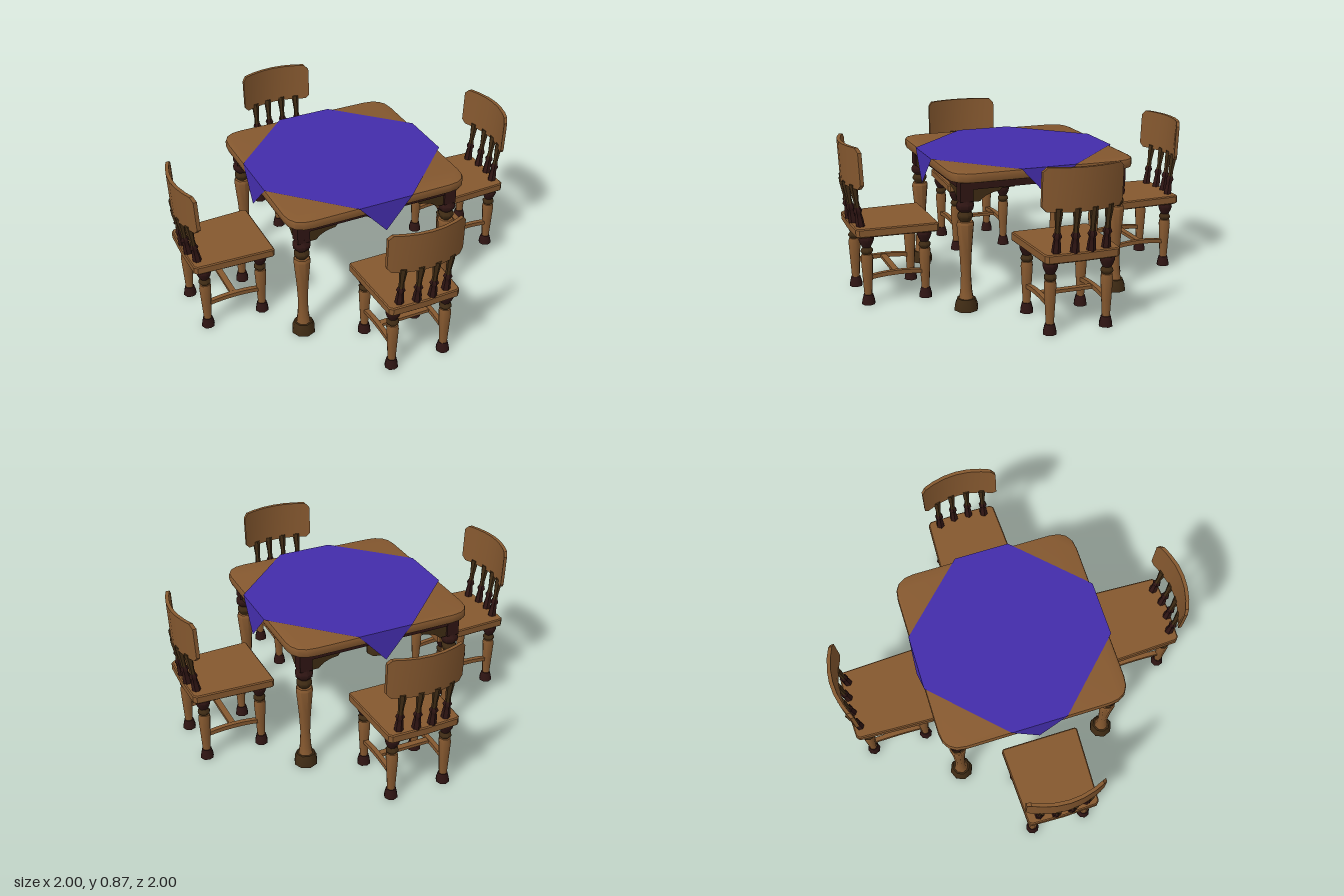
import * as THREE from 'three';
import { toCreasedNormals } from 'three/addons/utils/BufferGeometryUtils.js';

const material = (name, color, extra = {}) => {
  const m = new THREE.MeshStandardMaterial({ color, ...extra });
  m.name = name;
  return m;
};

export function createModel() {
  const wood = material('warm wood', 0x85582f);
  const walnut = material('dark walnut', 0x3f2b14);
  const mahogany = material('dark mahogany', 0x2f1513);
  const purple = material('purple cloth', 0x432daa, { side: THREE.DoubleSide });

  const add = (parent, name, geometry, mat, x = 0, y = 0, z = 0) => {
    const mesh = new THREE.Mesh(geometry, mat);
    mesh.name = name;
    mesh.position.set(x, y, z);
    parent.add(mesh);
    return mesh;
  };
  // Turned piece: [radius, height] pairs from bottom to top, closed at both ends
  const turned = (profile, sides = 8) => {
    const pts = [[0, profile[0][1]], ...profile, [0, profile.at(-1)[1]]];
    return toCreasedNormals(
      new THREE.LatheGeometry(pts.map(([r, y]) => new THREE.Vector2(r, y)), sides), 0.85);
  };
  // Flat board from an x-z outline, top face at y = 0, with softened edges
  const board = (shape, thickness, bevel, segments) => {
    const g = new THREE.ExtrudeGeometry(shape, {
      depth: thickness - 2 * bevel, bevelThickness: bevel, bevelSize: bevel,
      bevelOffset: -bevel, bevelSegments: segments, curveSegments: 4,
    });
    g.rotateX(Math.PI / 2).translate(0, -bevel, 0);
    return toCreasedNormals(g, 0.6);
  };

  const model = new THREE.Group();
  model.name = 'diningSet';

  // ---------- Table ----------
  const table = new THREE.Group();
  table.name = 'table';
  table.position.set(-0.007, 0, -0.004);
  model.add(table);

  const h = 0.522, r = 0.125;
  const topShape = new THREE.Shape();
  topShape.moveTo(-h + r, -h);
  topShape.lineTo(h - r, -h).quadraticCurveTo(h, -h, h, -h + r);
  topShape.lineTo(h, h - r).quadraticCurveTo(h, h, h - r, h);
  topShape.lineTo(-h + r, h).quadraticCurveTo(-h, h, -h, h - r);
  topShape.lineTo(-h, -h + r).quadraticCurveTo(-h, -h, -h + r, -h);
  add(table, 'tableTop', board(topShape, 0.055, 0.014, 2), wood, 0, 0.763, 0);

  const tableLegParts = [
    ['tableFoot', walnut, [[0.066, 0], [0.064, 0.03], [0.05, 0.065]]],
    ['tableLegShaft', wood, [[0.04, 0.065], [0.033, 0.11], [0.028, 0.2], [0.034, 0.32], [0.048, 0.475], [0.042, 0.49]]],
    ['tableLegRing', walnut, [[0.028, 0.49], [0.043, 0.515], [0.043, 0.525], [0.027, 0.55]]],
    ['tableLegCollar', mahogany, [[0.03, 0.54], [0.047, 0.56], [0.05, 0.58], [0.036, 0.6], [0.036, 0.62]]],
  ].map(([name, mat, profile]) => [name, mat, turned(profile)]);
  const legBlock = new THREE.BoxGeometry(0.07, 0.11, 0.07);
  for (const x of [-0.435, 0.435]) for (const z of [-0.435, 0.435]) {
    const leg = new THREE.Group();
    leg.name = 'tableLeg';
    leg.position.set(x, 0, z);
    for (const [name, mat, g] of tableLegParts) add(leg, name, g, mat);
    add(leg, 'legBlock', legBlock, mahogany, 0, 0.655, 0);
    table.add(leg);
  }

  // Apron rails with curved brackets beside the legs
  const bracket = new THREE.Shape();
  bracket.moveTo(-0.4, 0.7).lineTo(-0.4, 0.595);
  bracket.lineTo(-0.36, 0.595).quadraticCurveTo(-0.33, 0.635, -0.25, 0.642);
  bracket.lineTo(-0.23, 0.665).lineTo(-0.2, 0.67).lineTo(-0.2, 0.7);
  const bracketGeo = new THREE.ExtrudeGeometry(bracket, { depth: 0.026, bevelEnabled: false, curveSegments: 5 });
  bracketGeo.translate(0, 0, -0.013);
  const apronGeo = new THREE.BoxGeometry(0.82, 0.046, 0.036);
  for (let i = 0; i < 4; i++) {
    const side = new THREE.Group();
    side.name = 'apronSide';
    side.rotation.y = i * Math.PI / 2;
    add(side, 'apronRail', apronGeo, mahogany, 0, 0.685, 0.448);
    add(side, 'apronBracket', bracketGeo, walnut, 0, 0, 0.445);
    add(side, 'apronBracket', bracketGeo, walnut, 0, 0, 0.445).rotation.y = Math.PI;
    // Second bracket is turned about its own centre, so it mirrors to the other end
    table.add(side);
  }

  // ---------- Cloth: a diagonal square whose corners hang over the edges ----------
  const e = 0.529, w = 0.155, clothY = 0.767;
  const rim = [], verts = [];
  const turn = (x, y, z, i) => {
    const p = new THREE.Vector3(x, y, z).applyAxisAngle(new THREE.Vector3(0, 1, 0), i * Math.PI / 2);
    return [p.x, p.y, p.z];
  };
  for (let i = 0; i < 4; i++) {
    const a = turn(-w, clothY, e, i), b = turn(w, clothY, e, i), tip = turn(0, 0.598, e + 0.012, i);
    rim.push(a, b);
    verts.push(...a, ...tip, ...b);
  }
  rim.forEach((p, i) => verts.push(0, clothY, 0, ...p, ...rim[(i + 1) % 8]));
  const clothGeo = new THREE.BufferGeometry();
  clothGeo.setAttribute('position', new THREE.Float32BufferAttribute(verts, 3));
  clothGeo.computeVertexNormals();
  add(model, 'tableCloth', clothGeo, purple);

  // ---------- Chair parts (chair faces the table, its back towards +z) ----------
  const seatShape = new THREE.Shape();
  seatShape.moveTo(-0.21, 0.512);
  seatShape.lineTo(0.21, 0.512).lineTo(0.22, 0.524).lineTo(0.203, 0.945).lineTo(0.185, 0.962);
  seatShape.lineTo(0, 0.968).lineTo(-0.185, 0.962).lineTo(-0.203, 0.945).lineTo(-0.22, 0.524);
  const seatGeo = board(seatShape, 0.048, 0.006, 1);

  const chairLegParts = [
    ['chairFoot', mahogany, [[0.037, 0], [0.035, 0.02], [0.026, 0.055]]],
    ['chairLegShaft', wood, [[0.022, 0.055], [0.027, 0.14], [0.034, 0.26], [0.03, 0.283]]],
    ['chairLegRing', walnut, [[0.02, 0.28], [0.034, 0.297], [0.034, 0.305], [0.02, 0.325]]],
    ['chairLegCapital', mahogany, [[0.022, 0.318], [0.036, 0.345], [0.042, 0.365], [0.038, 0.388]]],
  ].map(([name, mat, profile]) => [name, mat, turned(profile)]);

  const spindleBase = turned([[0.024, 0], [0.022, 0.04], [0.017, 0.075], [0.025, 0.09], [0.016, 0.11]], 6);
  const spindleUpper = turned([[0.016, 0.1], [0.014, 0.14], [0.021, 0.21], [0.021, 0.24]], 6);

  // Curved backrest with clipped corners and a slight backward lean
  const sag = (x) => 0.055 * (x / 0.215) ** 2;
  const columns = [-0.215, -0.193, -0.14, -0.07, 0, 0.07, 0.14, 0.193, 0.215];
  let backGeo = new THREE.BoxGeometry(8, 0.224, 0.02, 8, 1, 1);
  const p = backGeo.attributes.position;
  for (let i = 0; i < p.count; i++) {
    const k = Math.round(p.getX(i) + 4), x = columns[k];
    const y = p.getY(i) * (k === 0 || k === 8 ? 0.78 : 1);
    p.setXYZ(i, x, y + 0.76, p.getZ(i) + 0.983 - sag(x) + y * 0.045);
  }
  backGeo = toCreasedNormals(backGeo, 0.6);

  // Arched side stretcher
  const arch = new THREE.Shape();
  arch.moveTo(0.585, 0.138).quadraticCurveTo(0.74, 0.162, 0.895, 0.138);
  arch.lineTo(0.895, 0.16).quadraticCurveTo(0.74, 0.188, 0.585, 0.16);
  const archGeo = new THREE.ExtrudeGeometry(arch, { depth: 0.026, bevelEnabled: false, curveSegments: 6 });
  archGeo.translate(0, 0, -0.013).rotateY(-Math.PI / 2);
  const crossGeo = new THREE.BoxGeometry(0.3, 0.018, 0.034);

  // ---------- Four chairs, one per side ----------
  for (let i = 0; i < 4; i++) {
    const place = new THREE.Group();
    place.name = 'chairPlace';
    place.rotation.y = i * Math.PI / 2;
    const chair = new THREE.Group();
    chair.name = 'chair';
    chair.position.x = 0.01;
    place.add(chair);
    model.add(place);

    add(chair, 'seat', seatGeo, wood, 0, 0.433, 0);
    add(chair, 'backrest', backGeo, wood);
    for (const x of [-0.135, -0.045, 0.045, 0.135]) {
      const spindle = new THREE.Group();
      spindle.name = 'spindle';
      spindle.position.set(x, 0.43, 0.946 - sag(x));
      spindle.rotation.x = 0.13;
      add(spindle, 'spindleBase', spindleBase, mahogany);
      add(spindle, 'spindleUpper', spindleUpper, walnut);
      chair.add(spindle);
    }
    for (const s of [-1, 1]) {
      for (const z of [0.58, 0.9]) {
        const leg = new THREE.Group();
        leg.name = 'chairLeg';
        leg.position.set(s * 0.155, 0, z);
        for (const [name, mat, g] of chairLegParts) add(leg, name, g, mat);
        chair.add(leg);
      }
      add(chair, 'sideStretcher', archGeo, wood, s * 0.155, 0, 0);
    }
    add(chair, 'crossStretcher', crossGeo, wood, 0, 0.16, 0.74);
  }
  return model;
}
